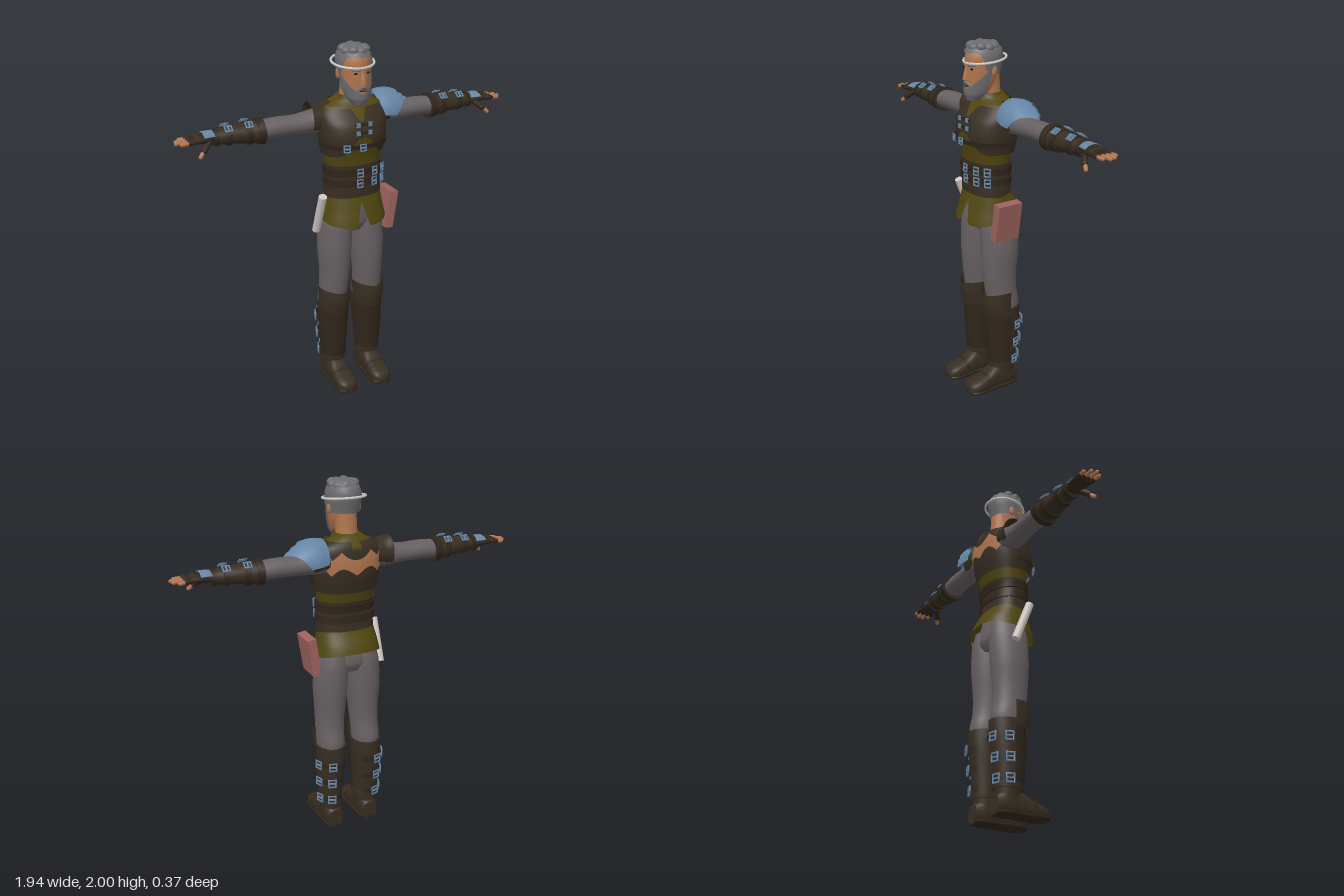
import * as THREE from 'three';
import { toCreasedNormals } from 'three/addons/utils/BufferGeometryUtils.js';

const { PI, abs, exp, sin, cos } = Math;
const FRONT = PI / 2, BACK = -PI / 2;

// Smooth reading of rings [t, centre1, centre2, radius1, radius2] at position t
function sample(rings, t) {
  let k = 0;
  while (k < rings.length - 2 && t > rings[k + 1][0]) k++;
  const at = (i) => rings[Math.max(0, Math.min(rings.length - 1, i))];
  const f = Math.max(0, Math.min(1, (t - rings[k][0]) / (rings[k + 1][0] - rings[k][0])));
  return [1, 2, 3, 4].map((c) => {
    const [p, q, r, s] = [at(k - 1)[c], at(k)[c], at(k + 1)[c], at(k + 2)[c]];
    return q + 0.5 * f * (r - p + f * (2 * p - 5 * q + 4 * r - s + f * (3 * (q - r) + s - p)));
  });
}

// Point on a lofted body at angle a and position t
function surf(rings, a, t, off = 0, axis = 'y', p = 2) {
  const [c1, c2, r1, r2] = sample(rings, t);
  const pw = (v) => Math.sign(v) * abs(v) ** (2 / p);
  const u = (Math.max(r1, 0.001) + off) * pw(cos(a)), v = (Math.max(r2, 0.001) + off) * pw(sin(a));
  if (axis === 'x') return [t, c1 + u, c2 - v];
  if (axis === 'z') return [c1 + u, c2 - v, t];
  return [c1 + u, t, c2 + v];
}

// Skin over rings; lo and hi may depend on the angle to shape the edges
function loft(rings, o = {}) {
  const { from = BACK, to = BACK + 2 * PI, n = 32, m = 14, off = 0, axis = 'y', p = 2, cap = true } = o;
  const lo = o.lo ?? rings[0][0], hi = o.hi ?? rings[rings.length - 1][0];
  const val = (f, a) => (typeof f === 'function' ? f(a) : f);
  const pos = [], idx = [], w = n + 1;
  for (let j = 0; j <= m; j++) for (let i = 0; i <= n; i++) {
    const a = from + ((to - from) * i) / n;
    pos.push(...surf(rings, a, val(lo, a) + ((val(hi, a) - val(lo, a)) * j) / m, off, axis, p));
  }
  for (let j = 0; j < m; j++) for (let i = 0; i < n; i++) {
    const q = j * w + i;
    idx.push(q, q + w, q + 1, q + 1, q + w, q + w + 1);
  }
  if (cap) for (const j of [0, m]) {
    const c = pos.length / 3, s = [0, 0, 0];
    for (let i = 0; i < n; i++) for (let k = 0; k < 3; k++) s[k] += pos[(j * w + i) * 3 + k] / n;
    pos.push(...s);
    for (let i = 0; i < n; i++) idx.push(c, j * w + i + (j ? 1 : 0), j * w + i + (j ? 0 : 1));
  }
  const g = new THREE.BufferGeometry();
  g.setAttribute('position', new THREE.Float32BufferAttribute(pos, 3));
  g.setIndex(idx);
  return toCreasedNormals(g, 0.9);
}

function mirrored(geo) {
  const g = (geo.index ? geo.toNonIndexed() : geo.clone()).scale(-1, 1, 1);
  g.setIndex(Array.from({ length: g.attributes.position.count }, (_, i) => i + [0, 1, -1][i % 3]));
  return g;
}

const box = (w, h, d, x, y, z) => new THREE.BoxGeometry(w, h, d).translate(x, y, z);
const ball = (sx, sy, sz, x, y, z) => new THREE.SphereGeometry(1, 16, 12).scale(sx, sy, sz).translate(x, y, z);
function rod(a, b, r) {
  const A = new THREE.Vector3(...a), d = new THREE.Vector3(...b).sub(A);
  const q = new THREE.Quaternion().setFromUnitVectors(new THREE.Vector3(0, 1, 0), d.clone().normalize());
  return new THREE.CapsuleGeometry(r, d.length(), 4, 10).applyQuaternion(q).translate(...A.addScaledVector(d, 0.5).toArray());
}
// Square metal frame facing +z
const frame = (w, h) => new THREE.TorusGeometry(0.707, 0.16, 6, 4).rotateZ(PI / 4).scale(w, h, 0.03);

export function createModel() {
  const root = new THREE.Group();
  const mat = (name, color) => Object.assign(new THREE.MeshStandardMaterial({ color, side: THREE.DoubleSide }), { name });
  const skin = mat('skin', 0xb0754f), hair = mat('grey hair', 0x6c6b6f), leather = mat('brown leather', 0x382e22);
  const dark = mat('dark leather', 0x30261b), olive = mat('olive cloth', 0x50460f), cloth = mat('grey cloth', 0x676063);
  const steel = mat('blue steel', 0x6585a5), red = mat('red cover', 0x9c625e), ivory = mat('ivory', 0xcfc6c0);
  const eyeDark = mat('dark eye', 0x1c1714);
  const part = (name, geo, material, pair) => {
    for (const g of pair ? [geo, mirrored(geo)] : [geo]) {
      const mesh = new THREE.Mesh(g, material);
      mesh.name = pair ? (g === geo ? 'left ' : 'right ') + name : name;
      root.add(mesh);
    }
  };

  // Torso: tunic, vest, corset and skirt share one body shape
  const body = [[1.15, 0, 0, 0.152, 0.1], [1.3, 0, 0.005, 0.148, 0.098], [1.4, 0, 0, 0.16, 0.115],
    [1.5, 0, 0, 0.177, 0.138], [1.58, 0, -0.01, 0.182, 0.132], [1.63, 0, -0.025, 0.18, 0.112],
    [1.67, 0, -0.035, 0.155, 0.092], [1.7, 0, -0.035, 0.09, 0.07], [1.72, 0, -0.03, 0.065, 0.06]];
  const wrap = { p: 2.3, n: 64 };
  part('tunic', loft(body, { ...wrap, m: 24 }), olive);
  part('vest', loft(body, { ...wrap, m: 20, off: 0.01, cap: false, hi: 1.69,
    lo: (a) => 1.41 + 0.11 * exp(-(((a - FRONT) / 0.4) ** 2)) }), leather);
  part('corset', loft(body, { ...wrap, off: 0.01, lo: 1.17, hi: 1.355 }), leather);
  for (const y of [1.255, 1.315]) part('waist belt', loft(body, { ...wrap, m: 2, off: 0.018, lo: y - 0.02, hi: y + 0.022 }), dark);
  part('chest strap', loft(body, { ...wrap, m: 2, off: 0.017, lo: 1.455, hi: 1.482, cap: false, from: -0.1, to: PI + 0.1 }), dark);
  part('neck yoke', loft(body, { ...wrap, off: 0.015, cap: false, from: 0.3, to: PI - 0.3, hi: 1.7,
    lo: (a) => 1.665 - 0.065 * exp(-(((a - FRONT) / 0.12) ** 2)) }), olive);
  part('bare back', loft(body, { ...wrap, off: 0.015, cap: false, from: BACK - 0.95, to: BACK + 0.95,
    lo: (a) => 1.515 + 0.04 * abs(sin(4.5 * (a - BACK))), hi: (a) => 1.645 - 0.045 * abs(cos(4 * (a - BACK))) }), skin);
  part('nape cloth', loft(body, { ...wrap, off: 0.018, cap: false, from: BACK - 0.12, to: BACK + 0.12, lo: 1.655, hi: 1.71 }), olive);
  const hem = [[1, 0, -0.015, 0.196, 0.168], [1.1, 0, -0.015, 0.176, 0.143], [1.21, 0, 0, 0.156, 0.1]];
  part('skirt', loft(hem, { ...wrap, n: 96, cap: false,
    lo: (a) => 1.04 - 0.035 * sin(a) + 0.14 * exp(-(((a - FRONT) / 0.09) ** 2)) }), olive);

  // Torso buckles
  const bodyBuckle = (x, y, w, h) => {
    const a = Math.acos(Math.sign(x) * abs(x / 0.17) ** 1.15), [px, py, pz] = surf(body, a, y, 0.026, 'y', 2.3);
    part('buckle', frame(w, h).rotateY((FRONT - a) * 0.8).translate(px, py, pz), steel);
    part('buckle pin', box(w, 0.006, 0.012, 0, 0, 0).rotateY((FRONT - a) * 0.8).translate(px, py, pz), steel);
  };
  for (const y of [1.255, 1.315]) for (const x of [-0.012, 0.075, 0.135]) bodyBuckle(x, y, 0.032, 0.042);
  for (const x of [-0.085, -0.01]) bodyBuckle(x, 1.468, 0.032, 0.035);
  for (const y of [1.545, 1.59]) {
    part('chest tab', box(0.1, 0.016, 0.012, 0, y, 0.142), dark);
    part('chest clasp', box(0.022, 0.022, 0.01, 0.035, y, 0.148), steel, true);
  }

  // Neck and head
  part('neck', loft([[1.62, 0, -0.035, 0.075, 0.075], [1.7, 0, -0.02, 0.06, 0.062], [1.83, 0, -0.005, 0.058, 0.068]]), skin);
  part('collar', loft([[1.675, 0, -0.022, 0.098, 0.09], [1.725, 0, -0.018, 0.07, 0.072]], { cap: false, from: -0.5, to: PI + 0.5 }), olive);
  const skull = [[1.69, 0, 0.08, 0.028, 0.032], [1.72, 0, 0.06, 0.054, 0.064], [1.78, 0, 0.04, 0.071, 0.086],
    [1.85, 0, 0.03, 0.079, 0.096], [1.92, 0, 0.022, 0.082, 0.1], [1.965, 0, 0.018, 0.064, 0.08], [1.985, 0, 0.015, 0.015, 0.02]];
  part('face', loft(skull, { m: 24 }), skin);
  part('hair', loft(skull, { n: 48, m: 18, off: 0.012, cap: false, hi: 1.985,
    lo: (a) => 1.845 + 0.095 / (1 + exp(-14 * (sin(a) - 0.42))) - 0.02 * (sin(a) < -0.2 ? 1 : 0) }), hair);
  part('hair crown', ball(0.075, 0.034, 0.085, 0, 1.964, 0.018), hair);
  for (let i = 0; i < 9; i++) {
    const a = (i / 9) * 2 * PI;
    part('hair curl', ball(0.03, 0.024, 0.03, 0.056 * cos(a), 1.966 + 0.005 * (i % 2), 0.025 + 0.06 * sin(a)), hair);
  }
  part('beard', loft(skull, { n: 40, off: 0.01, lo: 1.69, from: -0.05, to: PI + 0.05, cap: false,
    hi: (a) => 1.748 + 0.11 * (1 - Math.max(0, sin(a))) ** 0.8 }), hair);
  part('beard tip', ball(0.034, 0.026, 0.028, 0, 1.706, 0.098), hair);
  part('moustache', rod([0.004, 1.785, 0.13], [0.034, 1.762, 0.115], 0.008), hair, true);
  part('mouth', box(0.03, 0.006, 0.006, 0, 1.765, 0.127), dark);
  part('nose', loft([[1.8, 0, 0.128, 0.017, 0.021], [1.815, 0, 0.126, 0.014, 0.022], [1.87, 0, 0.12, 0.008, 0.014]], { n: 12 }), skin);
  part('eye', ball(0.013, 0.006, 0.005, 0.033, 1.858, 0.116), eyeDark, true);
  part('eyebrow', rod([0.016, 1.874, 0.126], [0.05, 1.876, 0.108], 0.005), hair, true);
  part('ear', ball(0.01, 0.03, 0.018, 0.087, 1.845, 0.01), skin, true);
  part('head ring', new THREE.TorusGeometry(0.114, 0.007, 8, 48).rotateX(FRONT + 0.13).translate(0, 1.9, 0.01), ivory);

  // Arms, stretched sideways
  const X = { axis: 'x', n: 24 };
  const sleeve = [[0.13, 1.59, -0.05, 0.07, 0.075], [0.2, 1.585, -0.055, 0.064, 0.068],
    [0.3, 1.58, -0.055, 0.052, 0.062], [0.42, 1.582, -0.055, 0.052, 0.062], [0.52, 1.577, -0.053, 0.05, 0.06]];
  part('sleeve', loft(sleeve, X), cloth, true);
  part('shoulder flange', loft([[0.14, 1.6, -0.05, 0.074, 0.08], [0.19, 1.598, -0.05, 0.08, 0.078],
    [0.23, 1.602, -0.055, 0.088, 0.078]], { ...X, cap: false, from: -2.2, to: 2.2 }), leather, true);
  const bracer = [[0.495, 1.575, -0.053, 0.064, 0.073], [0.56, 1.575, -0.053, 0.056, 0.064],
    [0.66, 1.577, -0.052, 0.047, 0.054], [0.77, 1.577, -0.05, 0.036, 0.042]];
  part('bracer', loft(bracer, X), leather, true);
  for (const [x, w] of [[0.515, 0.018], [0.58, 0.014], [0.69, 0.014], [0.755, 0.012]])
    part('bracer band', loft(bracer, { ...X, m: 2, off: 0.007, lo: x - w, hi: x + w }), dark, true);
  for (const x of [0.58, 0.69]) for (const a of [-0.6, 0.6]) {
    const c = surf(bracer, a, x, 0.012, 'x');
    part('bracer buckle', frame(0.036, 0.034).rotateX(-FRONT - a).translate(...c), steel, true);
    part('bracer pin', box(0.008, 0.012, 0.032, 0, 0, 0).rotateX(-a).translate(...c), steel, true);
  }
  const hand = [[0.75, 1.578, -0.05, 0.03, 0.04], [0.82, 1.582, -0.047, 0.025, 0.05], [0.885, 1.582, -0.043, 0.016, 0.054]];
  part('glove', loft(hand, X), dark, true);
  part('hand plate', loft(hand, { ...X, off: 0.009, lo: 0.765, hi: 0.825, from: -1.1, to: 1.1, cap: false }), steel, true);
  part('knuckle strip', loft(hand, { ...X, off: 0.006, lo: 0.85, hi: 0.87, from: -1.1, to: 1.1, cap: false }), leather, true);
  [[-0.086, 0.93], [-0.058, 0.955], [-0.03, 0.962], [-0.003, 0.94]].forEach(([z, tip]) => {
    part('finger', rod([0.875, 1.582, z], [tip, 1.578, z * 1.08], 0.0105), skin, true);
    part('finger sleeve', rod([0.87, 1.582, z], [0.9, 1.581, z * 1.03], 0.013), dark, true);
  });
  part('thumb sleeve', rod([0.79, 1.57, -0.02], [0.832, 1.535, 0.012], 0.017), dark, true);
  part('thumb', rod([0.83, 1.537, 0.01], [0.858, 1.51, 0.025], 0.011), skin, true);

  // Layered shoulder armour on the left
  const dome = [[0.15, 1.59, -0.055, 0.1, 0.09], [0.21, 1.585, -0.055, 0.112, 0.103],
    [0.27, 1.58, -0.055, 0.108, 0.1], [0.33, 1.58, -0.057, 0.078, 0.088], [0.39, 1.58, -0.06, 0.052, 0.07]];
  [[0.375, 0], [0.345, 0.008], [0.305, 0.016]].forEach(([tip, off], k) => part('shoulder plate', loft(dome,
    { ...X, off, cap: false, from: -1.6 + k * 0.08, to: 1.6 - k * 0.08, lo: 0.155, hi: (a) => tip - 0.075 * abs(a) }), steel));

  // Trousers
  part('trouser seat', loft([[0.95, 0, -0.025, 0.09, 0.08], [1, 0, -0.022, 0.155, 0.105], [1.19, 0, 0, 0.15, 0.095]]), cloth);
  part('trouser leg', loft([[0.46, 0.108, -0.04, 0.074, 0.088], [0.53, 0.108, -0.038, 0.078, 0.096],
    [0.6, 0.107, -0.025, 0.078, 0.094], [0.7, 0.103, -0.018, 0.083, 0.1], [0.85, 0.1, -0.02, 0.094, 0.111],
    [1, 0.093, -0.022, 0.09, 0.112], [1.08, 0.085, -0.02, 0.075, 0.1]], { m: 22 }), cloth, true);

  // Tall boots with knee guards, straps and buckles
  const boot = [[0.07, 0.11, -0.04, 0.056, 0.065], [0.15, 0.11, -0.035, 0.065, 0.076], [0.3, 0.11, -0.036, 0.075, 0.088],
    [0.42, 0.108, -0.04, 0.082, 0.098], [0.505, 0.108, -0.04, 0.085, 0.1]];
  part('boot shaft', loft(boot), leather, true);
  part('shin guard', loft(boot, { off: 0.008, lo: 0.14, hi: 0.47, from: 0, to: PI, cap: false }), dark, true);
  part('ankle cuff', loft(boot, { off: 0.009, m: 2, lo: 0.135, hi: 0.165 }), leather, true);
  part('knee guard', loft([[0.45, 0.108, -0.015, 0.082, 0.09], [0.53, 0.108, -0.01, 0.088, 0.1],
    [0.61, 0.106, -0.012, 0.092, 0.1]], { from: -0.25, to: PI + 0.25, cap: false,
    lo: (a) => 0.455 + 0.03 * (1 - sin(a)), hi: (a) => 0.59 + 0.018 * abs(cos(a)) }), leather, true);
  for (const y of [0.18, 0.29, 0.4]) {
    part('boot strap', loft(boot, { off: 0.01, m: 2, lo: y - 0.014, hi: y + 0.014, from: -2.2, to: 0.3, cap: false }), dark, true);
    for (const a of [-0.35, -1.25]) {
      const c = surf(boot, a, y, 0.015);
      part('boot buckle', frame(0.04, 0.044).rotateY(FRONT - a).translate(...c), steel, true);
      part('boot pin', box(0.04, 0.007, 0.01, 0, 0, 0).rotateY(FRONT - a).translate(...c), steel, true);
    }
  }
  const foot = [[-0.118, 0.11, 0.05, 0.042, 0.05], [-0.06, 0.11, 0.07, 0.055, 0.07], [0.02, 0.11, 0.068, 0.054, 0.068],
    [0.08, 0.11, 0.051, 0.059, 0.051], [0.15, 0.11, 0.039, 0.06, 0.039], [0.185, 0.11, 0.032, 0.05, 0.032], [0.2, 0.11, 0.025, 0.03, 0.02]];
  part('boot foot', loft(foot, { axis: 'z', p: 2.8, m: 20 }), leather, true);
  part('sole', loft(foot.map(([z, x, , r]) => [z, x, 0.01, r + 0.004, 0.01]), { axis: 'z', p: 5, m: 20 }), dark, true);
  part('toe band', loft(foot, { axis: 'z', p: 2.8, m: 2, off: 0.004, lo: 0.085, hi: 0.105, from: -PI, to: 0, cap: false }), dark, true);

  // Book on the left hip, scroll on the right hip
  part('book', box(0.05, 0.215, 0.15, 0, 0, 0).rotateZ(-0.16).translate(0.207, 1.047, 0.011), red);
  part('scroll', new THREE.CylinderGeometry(0.023, 0.023, 0.25, 20).rotateX(0.38).translate(-0.2, 1.07, 0.005), ivory);
  return root;
}
